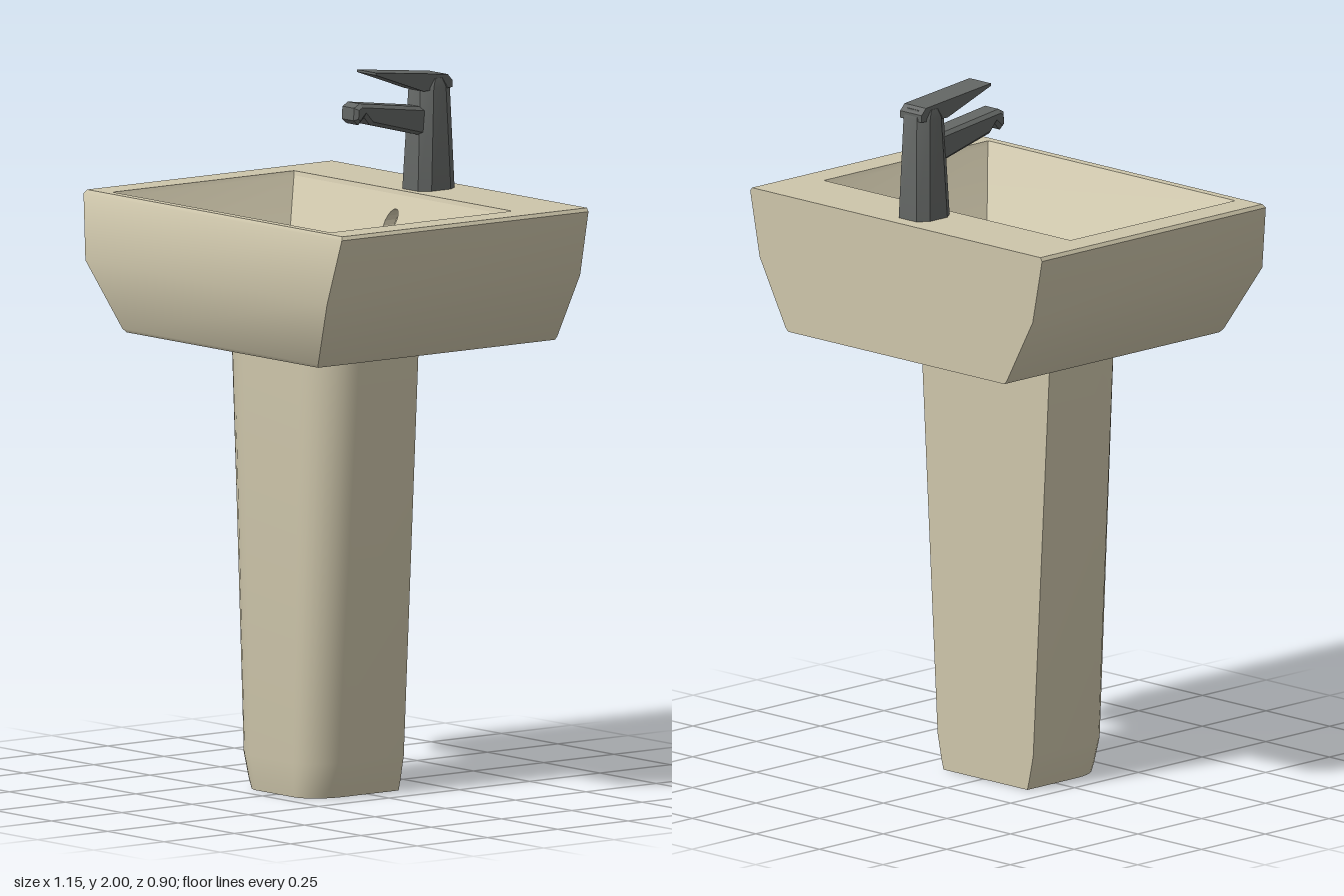
import * as THREE from 'three';
import { toCreasedNormals } from 'three/addons/utils/BufferGeometryUtils.js';

const V = (x, y, z) => new THREE.Vector3(x, y, z);

// Skin a stack of rings (each running from +x towards +z) and cap both ends
function loft(rings, crease = 0.5, skip = () => false) {
  const pos = [];
  const tri = (...p) => p.forEach((q) => pos.push(q.x, q.y, q.z));
  const n = rings[0].length;
  for (let i = 0; i < rings.length - 1; i++) {
    for (let j = 0; j < n; j++) {
      if (skip(i, j)) continue;
      const k = (j + 1) % n, lo = rings[i], hi = rings[i + 1];
      tri(lo[j], hi[j], lo[k]);
      tri(lo[k], hi[j], hi[k]);
    }
  }
  const last = rings[rings.length - 1];
  for (let k = 1; k < n - 1; k++) {
    tri(rings[0][0], rings[0][k], rings[0][k + 1]);
    tri(last[0], last[k + 1], last[k]);
  }
  const g = new THREE.BufferGeometry();
  g.setAttribute('position', new THREE.Float32BufferAttribute(pos, 3));
  return toCreasedNormals(g, crease);
}

const rect = ([y, hw, zb, zf]) => [V(hw, y, zb), V(hw, y, zf), V(-hw, y, zf), V(-hw, y, zb)];

// Flat back, straight sides, rounded front corners
function pedestalRing([y, hw, zf]) {
  const zb = -0.11, r = hw * 0.5, rz = 0.11, ring = [V(hw, y, zb)];
  for (let i = 0; i <= 8; i++) {
    const a = (i / 8) * Math.PI / 2;
    ring.push(V(hw - r + r * Math.cos(a), y, zf - rz + rz * Math.sin(a)));
  }
  const mirrored = ring.map((p) => V(-p.x, p.y, p.z)).reverse();
  return [...ring, ...mirrored].map((p) => p.setX(p.x - 0.01));
}

// Rectangle with cut corners for the tap body
function cutRing([y, hw, zb, zf]) {
  const c = 0.022, half = [V(hw - c, y, zb), V(hw, y, zb + c * 1.4), V(hw, y, zf - c * 1.4), V(hw - c, y, zf)];
  return [...half, ...half.map((p) => V(-p.x, p.y, p.z)).reverse()];
}

// Extrude a (z, y) side profile across x
function sideExtrude(points, width, bevel) {
  const shape = new THREE.Shape(points.map(([z, y]) => new THREE.Vector2(-z, y)));
  const g = new THREE.ExtrudeGeometry(shape, {
    depth: width - 2 * bevel, bevelEnabled: bevel > 0, bevelSize: bevel,
    bevelThickness: bevel, bevelOffset: -bevel, bevelSegments: 1,
  });
  g.translate(0, 0, -width / 2 + bevel);
  g.rotateY(Math.PI / 2);
  return g;
}

export function createModel() {
  const model = new THREE.Group();
  const ceramic = new THREE.MeshStandardMaterial({ color: 0xcdc5aa });
  ceramic.name = 'ceramic';
  const metal = new THREE.MeshStandardMaterial({ color: 0x626563 });
  metal.name = 'dark metal';
  const add = (name, geometry, material) => {
    const mesh = new THREE.Mesh(geometry, material);
    mesh.name = name;
    model.add(mesh);
  };

  // Basin: outside, rim, bowl and drain in one skin [y, half width, back z, front z]
  const lip = [1.64, 0.48, -0.246, 0.388], floor = [1.45, 0.365, -0.135, 0.27];
  const sections = [
    [1.265, 0.425, -0.45, 0.392],
    [1.275, 0.435, -0.45, 0.4],
    [1.46, 0.537, -0.45, 0.45],
    [1.642, 0.574, -0.45, 0.427],
    [1.652, 0.567, -0.45, 0.42],
    [1.652, 0.485, -0.25, 0.395],
    lip,
    floor,
    [1.4, 0.063, 0.015, 0.115],
    [1.34, 0.012, 0.056, 0.074],
  ];
  const wall = sections.indexOf(lip);
  add('basin', loft(sections.map(rect), 0.5, (i, j) => i === wall && j === 3), ceramic);

  // Back wall of the bowl with an overflow opening
  const wallZ = (y) => THREE.MathUtils.mapLinear(y, lip[0], floor[0], lip[2], floor[2]);
  const hole = [];
  for (let i = 0; i < 16; i++) {
    const a = -(i / 16) * Math.PI * 2;
    hole.push(new THREE.Vector2(0.024 * Math.cos(a), 1.57 + 0.034 * Math.sin(a)));
  }
  const wallShape = new THREE.Shape([
    [-floor[1], floor[0]], [floor[1], floor[0]], [lip[1], lip[0]], [-lip[1], lip[0]],
  ].map((p) => new THREE.Vector2(...p)));
  wallShape.holes.push(new THREE.Path(hole));
  const wallGeo = new THREE.ShapeGeometry(wallShape);
  const p = wallGeo.attributes.position;
  for (let i = 0; i < p.count; i++) p.setZ(i, wallZ(p.getY(i)));
  wallGeo.computeVertexNormals();
  add('bowlBackWall', wallGeo, ceramic);

  // Overflow recess, seen from inside
  const front = hole.map((h) => V(h.x, h.y, wallZ(h.y)));
  const back = front.map((q) => V(q.x, q.y, q.z - 0.04));
  const recess = loft([front, back]);
  // Leave out the front cap: the end caps alternate, so keep only sides and back
  const kept = [], rp = recess.attributes.position;
  for (let i = 0; i < rp.count; i += 3) {
    const isFront = [0, 1, 2].every((k) => Math.abs(rp.getZ(i + k) - wallZ(rp.getY(i + k))) < 1e-4);
    if (!isFront) for (let k = 0; k < 3; k++) kept.push(rp.getX(i + k), rp.getY(i + k), rp.getZ(i + k));
  }
  const recessGeo = new THREE.BufferGeometry();
  recessGeo.setAttribute('position', new THREE.Float32BufferAttribute(kept, 3));
  recessGeo.computeVertexNormals();
  add('overflowRecess', recessGeo, ceramic);

  // Pedestal [y, half width, front z]
  add('pedestal', loft([
    [0, 0.165, 0.197], [0.03, 0.173, 0.202], [0.1, 0.188, 0.21], [1.27, 0.255, 0.21],
  ].map(pedestalRing)), ceramic);

  // Tap body [y, half width, back z, front z]
  add('tapBody', loft([
    [1.65, 0.057, -0.405, -0.275], [1.94, 0.048, -0.395, -0.29], [1.965, 0.043, -0.385, -0.3],
  ].map(cutRing), 0.4), metal);

  // Tap lever: a tapering blade over the body
  add('tapLever', sideExtrude([
    [-0.392, 1.935], [-0.29, 1.932], [-0.12, 1.993], [-0.12, 2.0], [-0.375, 1.973], [-0.392, 1.955],
  ], 0.084, 0), metal);

  // Tap spout with a notched outlet
  add('tapSpout', sideExtrude([
    [-0.32, 1.8], [-0.11, 1.853], [-0.09, 1.876], [-0.07, 1.856], [-0.053, 1.87],
    [-0.055, 1.905], [-0.075, 1.916], [-0.32, 1.884],
  ], 0.072, 0.01), metal);

  return model;
}
